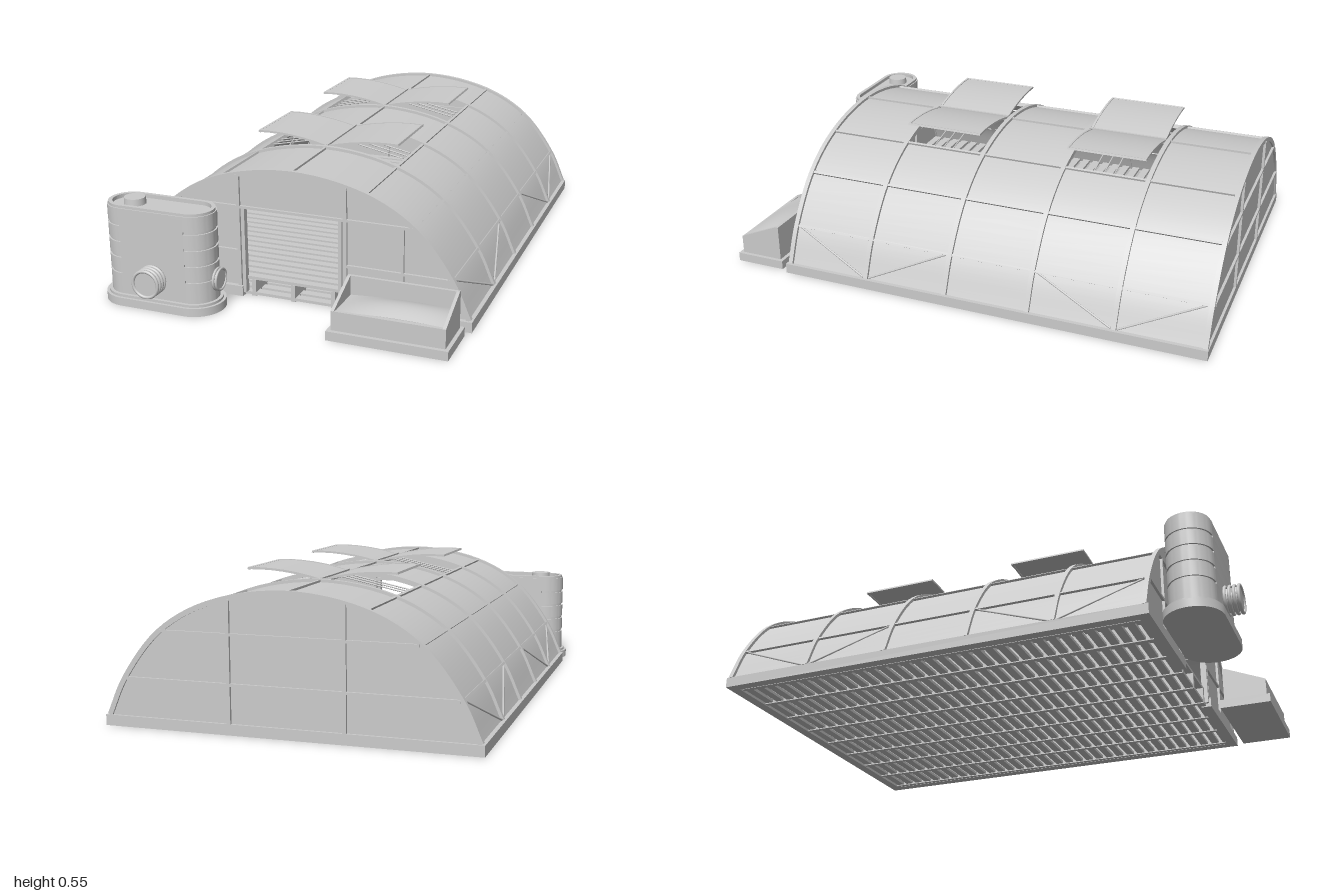
import * as THREE from 'three';
import { toCreasedNormals } from 'three/addons/utils/BufferGeometryUtils.js';

const mat = new THREE.MeshStandardMaterial({ color: 0xcccccc });
const thin = new THREE.MeshStandardMaterial({ color: 0xcccccc, side: THREE.DoubleSide });

// Half arch profile, mirrored into nine purlin positions
const HALF = [[0.685, 0.04], [0.62, 0.18], [0.48, 0.355], [0.29, 0.462], [0, 0.51]];
const nodes = [...HALF, ...HALF.slice(0, 4).reverse().map(([x, y]) => [-x, y])];
const arch = new THREE.CatmullRomCurve3(nodes.map(([x, y]) => new THREE.Vector3(x, y, 0)));
const archPoints = (a, b, per = 6) =>
  Array.from({ length: (b - a) * per + 1 }, (_, i) => arch.getPoint((a + i / per) / 8));
const bays = Array.from({ length: 6 }, (_, i) => -0.988 + i * 0.338);

export function createModel() {
  const root = new THREE.Group();

  function add(name, geo, x = 0, y = 0, z = 0, parent = root, material = mat) {
    const m = new THREE.Mesh(geo, material);
    m.name = name;
    m.position.set(x, y, z);
    parent.add(m);
    return m;
  }
  // Box given by its limits
  const box = (name, x0, x1, y0, y1, z0, z1, parent = root) =>
    add(name, new THREE.BoxGeometry(x1 - x0, y1 - y0, z1 - z0),
      (x0 + x1) / 2, (y0 + y1) / 2, (z0 + z1) / 2, parent);
  const extrude = (shape, depth) => toCreasedNormals(
    new THREE.ExtrudeGeometry(shape, { depth, bevelEnabled: false, curveSegments: 16 }), 0.5);
  function rod(name, a, b, r) {
    const p = new THREE.Vector3(...a), q = new THREE.Vector3(...b);
    const m = add(name, new THREE.CylinderGeometry(r, r, p.distanceTo(q), 8));
    m.position.copy(p).lerp(q, 0.5);
    m.quaternion.setFromUnitVectors(new THREE.Vector3(0, 1, 0), q.sub(p).normalize());
  }
  // Curved strip that follows a stretch of the arch, between two offsets
  function band(a, b, lo, hi, depth) {
    const pts = archPoints(a, b);
    const off = d => pts.map((p, i) => {
      const t = arch.getTangent((a + i / 6) / 8);
      return new THREE.Vector2(p.x + t.y * d, p.y - t.x * d);
    });
    return extrude(new THREE.Shape([...off(hi), ...off(lo).reverse()]), depth);
  }

  // Foundation curb, open at the doorway
  for (const s of [-1, 1]) {
    box('sideCurb', s * 0.68 - 0.02, s * 0.68 + 0.02, 0, 0.04, -1, 0.72);
    box('frontCurb', s * 0.43 - 0.23, s * 0.43 + 0.23, 0, 0.04, 0.68, 0.72);
  }
  box('backCurb', -0.66, 0.66, 0, 0.04, -1, -0.96);

  // Arched ribs
  for (const z of bays) add('archRib', band(0, 8, -0.009, 0.01, 0.018), 0, 0, z - 0.009);

  // Roof skin, with ridge openings in two bays
  bays.slice(0, 5).forEach((z, i) => {
    const spans = i === 1 || i === 3 ? [[0, 3], [5, 8]] : [[0, 8]];
    for (const [a, b] of spans) add('roofSkin', band(a, b, -0.004, -0.001, 0.338), 0, 0, z);
  });

  // Lengthwise purlins, square to the skin
  nodes.slice(1, 8).forEach(([x, y], i) => {
    const t = arch.getTangent((i + 1) / 8);
    box('purlin', x - 0.005, x + 0.005, y - 0.009, y + 0.007, -0.99, 0.704).rotation.z = Math.atan2(-t.y, -t.x);
  });

  // Diagonal side braces, in pairs around ribs
  for (const s of [-1, 1]) for (const i of [1, 4]) for (const d of [-1, 1])
    rod('sideBrace', [s * 0.687, 0.045, bays[i] + d * 0.012], [s * 0.622, 0.18, bays[i] + d * 0.325], 0.004);

  // Raised ridge vents
  for (const i of [1, 3]) {
    const z0 = bays[i] + 0.012, len = 0.314;
    for (const s of [-1, 1]) {
      const pivot = new THREE.Group();
      pivot.name = 'roofVent';
      pivot.position.set(0, 0.514, z0);
      pivot.rotation.z = s * 0.28;
      root.add(pivot);
      const [a, b] = s > 0 ? [3, 4] : [4, 5];
      add('ventPanel', band(a, b, -0.0015, 0.0015, len), 0, -0.51, 0, pivot);
      for (const z of [0, len - 0.008])
        add('ventFrame', band(a, b, -0.004, 0.004, 0.008), 0, -0.51, z, pivot);
      box('ventEdge', s * 0.288 - 0.004, s * 0.288 + 0.004, -0.052, -0.044, 0, len, pivot);
      // Folded stays under the panel
      for (const k of [0.4, 0.53, 0.66])
        rod('ventStay', [s * 0.28, 0.464, z0 + k * len], [s * 0.04, 0.514, z0 + k * len], 0.0025);
    }
    box('ventHinge', -0.005, 0.005, 0.508, 0.523, z0, z0 + len);
  }

  // End walls
  function endWall(name, z, door) {
    const outline = archPoints(0, 8).map(p => new THREE.Vector2(p.x, p.y));
    if (door) outline.push(...[[-0.2, 0.04], [-0.2, 0.355], [0.2, 0.355], [0.2, 0.04]].map(p => new THREE.Vector2(...p)));
    add(name, extrude(new THREE.Shape(outline), 0.004), 0, 0, z - 0.002);
    const bar = (part, x0, x1, y0, y1) => box(part, x0, x1, y0, y1, z - 0.012, z + 0.012);
    bar('wallRail', -0.475, 0.475, 0.352, 0.362);
    if (!door) bar('wallRail', -0.615, 0.615, 0.175, 0.185);
    for (const s of [-1, 1]) {
      bar('wallPost', s * 0.214 - 0.007, s * 0.214 + 0.007, 0.02, 0.482);
      if (!door) continue;
      bar('wallRail', s * 0.418 - 0.198, s * 0.418 + 0.198, 0.175, 0.185);
      bar('sidePost', s * 0.435 - 0.005, s * 0.435 + 0.005, 0.04, 0.357);
      bar('doorJamb', s * 0.195 - 0.007, s * 0.195 + 0.007, 0.015, 0.352);
    }
  }
  endWall('backWall', -0.988, false);
  endWall('frontWall', 0.7, true);

  // Pallet floor: upper and lower slats on lengthwise joists
  for (let i = 0; i < 34; i++) {
    const z = -0.935 + i * 0.049;
    box('floorSlat', -0.655, 0.655, 0.066, 0.078, z - 0.016, z + 0.016);
    box('lowerSlat', -0.655, 0.655, 0.004, 0.015, z - 0.016, z + 0.016);
  }
  for (let i = -4; i <= 4; i++) {
    const x = i * 0.162;
    box('floorJoist', x - 0.008, x + 0.008, 0.015, 0.066, -0.955, 0.7);
    box('floorSkid', x - 0.009, x + 0.009, 0, 0.015, -0.955, 0.7);
  }

  // Water tank of stacked stadium-shaped layers
  const tank = new THREE.Group();
  tank.name = 'waterTank';
  tank.position.set(-0.455, 0, 0.85);
  root.add(tank);
  const STRAIGHT = 0.132;
  const stadium = (r, Kind = THREE.Shape) => new Kind()
    .absarc(STRAIGHT, 0, r, -Math.PI / 2, Math.PI / 2).absarc(-STRAIGHT, 0, r, Math.PI / 2, Math.PI * 1.5);
  function layer(name, r, y0, y1, hole) {
    const shape = stadium(r);
    if (hole) shape.holes.push(stadium(hole, THREE.Path));
    add(name, extrude(shape, y1 - y0), 0, y0, 0, tank).rotation.x = -Math.PI / 2;
  }
  layer('tankBase', 0.108, 0, 0.032);
  layer('tankFoot', 0.098, 0.032, 0.042);
  layer('tankCore', 0.08, 0.04, 0.368);
  // Grooves run round the ends only; the long sides stay flat
  box('tankSides', -STRAIGHT, STRAIGHT, 0.04, 0.366, -0.086, 0.086, tank);
  const grooves = [0.036, 0.127, 0.19, 0.252, 0.315, 0.384];
  for (let i = 0; i < 5; i++) {
    const top = grooves[i + 1] - 0.005;
    layer('tankBand', 0.086, grooves[i] + 0.005, top, i === 4 ? 0.066 : 0);
  }
  layer('tankRim', 0.081, 0.379, 0.389, 0.066);
  layer('tankLid', 0.067, 0.36, 0.374);
  add('fillerCap', new THREE.CylinderGeometry(0.04, 0.042, 0.028, 32), -0.112, 0.386, 0, tank);

  // Ribbed outlets on the tank's front and side
  function outlet(name, x, z, turn, r, rings, pitch) {
    const g = new THREE.Group();
    g.name = name;
    g.position.set(x, 0.12, z);
    g.rotation.y = turn;
    tank.add(g);
    const len = (rings - 0.4) * pitch;
    add('outletPipe', new THREE.CylinderGeometry(r * 0.78, r * 0.78, len, 32), 0, 0, len / 2, g)
      .rotation.x = Math.PI / 2;
    for (let i = 0; i < rings; i++)
      add('outletRing', new THREE.TorusGeometry(r * 0.89, r * 0.11, 8, 32), 0, 0, (i + 0.6) * pitch, g);
  }
  outlet('frontOutlet', 0, 0.083, 0, 0.057, 4, 0.017);
  outlet('sideOutlet', 0.214, 0, Math.PI / 2, 0.045, 2, 0.012);

  // Planter with sloping sides
  const planter = new THREE.Group();
  planter.name = 'planter';
  root.add(planter);
  box('planterBase', 0.235, 0.682, 0, 0.035, 0.75, 0.955, planter);
  box('planterBack', 0.25, 0.668, 0.035, 0.178, 0.765, 0.777, planter);
  box('planterFront', 0.25, 0.668, 0.035, 0.108, 0.928, 0.94, planter);
  const side = new THREE.Shape([[0.765, 0.035], [0.94, 0.035], [0.94, 0.108], [0.777, 0.178], [0.765, 0.178]]
    .map(([z, y]) => new THREE.Vector2(-z, y)));
  for (const x of [0.25, 0.656]) add('planterSide', extrude(side, 0.012), x, 0, 0, planter).rotation.y = Math.PI / 2;

  // Gently heaped soil
  const soil = new THREE.PlaneGeometry(0.396, 0.155, 24, 10).rotateX(-Math.PI / 2);
  const p = soil.attributes.position;
  for (let i = 0; i < p.count; i++) {
    const x = p.getX(i), z = p.getZ(i);
    p.setY(i, 0.104 + 0.028 * Math.cos(x * 6.5 - 0.3) * Math.cos(z * 16));
  }
  soil.computeVertexNormals();
  add('soil', soil, 0.459, 0, 0.852, planter, thin);

  return root;
}
